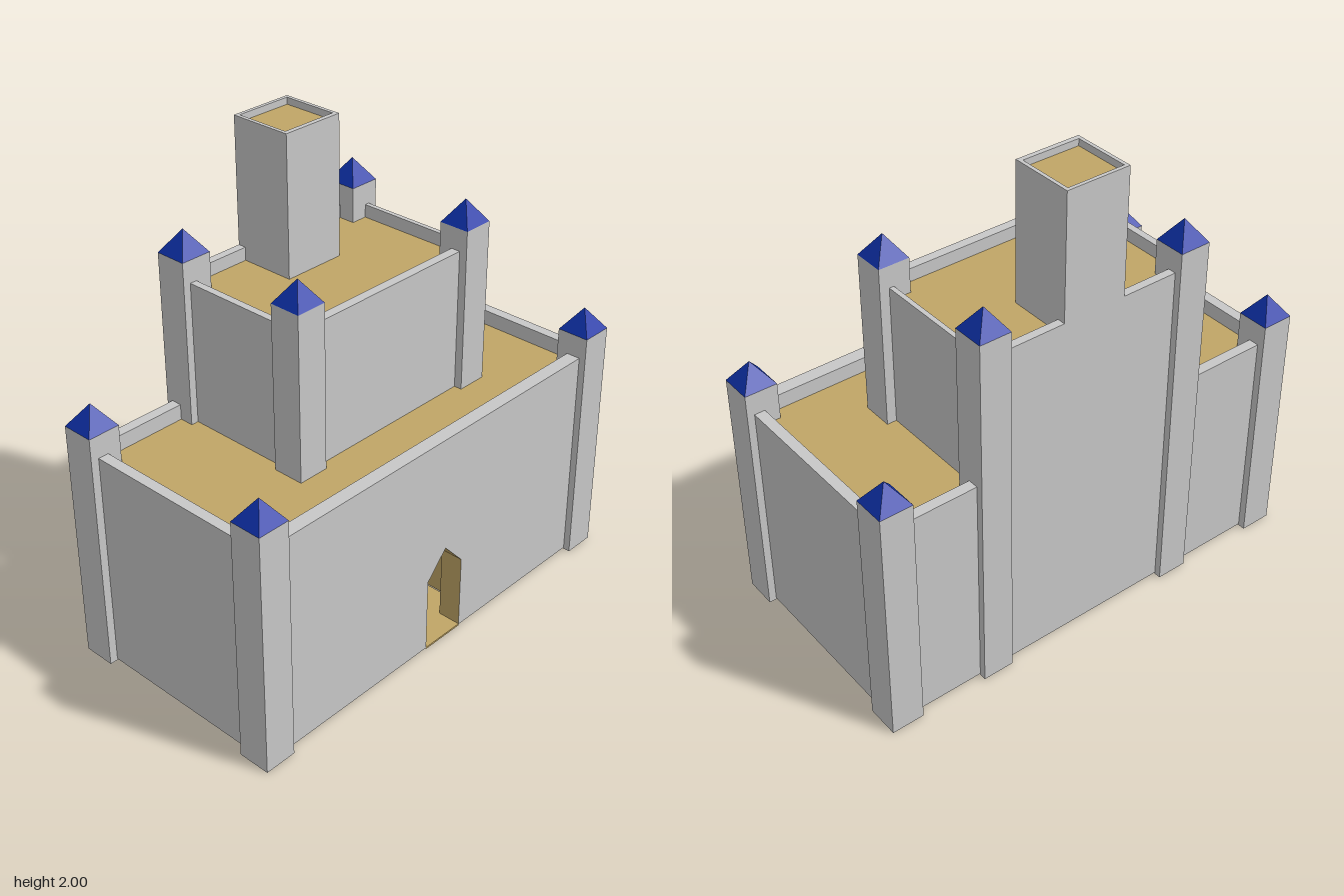
import * as THREE from 'three';

const stone = new THREE.MeshStandardMaterial({ name: 'stone', color: 0xc8c8c8, side: THREE.DoubleSide });
const sand = new THREE.MeshStandardMaterial({ name: 'sand', color: 0xc0a566, side: THREE.DoubleSide });
const roofBlue = new THREE.MeshStandardMaterial({ name: 'roofBlue', color: 0x0e30a8 });

export function createModel() {
  const model = new THREE.Group();
  model.name = 'castle';

  const add = (name, geometry, material) => {
    const mesh = new THREE.Mesh(geometry, material);
    mesh.name = name;
    model.add(mesh);
    return mesh;
  };

  // Box between limits; skip lists faces left open (0 +x, 1 -x, 2 top, 3 bottom, 4 front, 5 back)
  const box = (name, material, [x0, x1], [y0, y1], [z0, z1], skip = []) => {
    const g = new THREE.BoxGeometry(x1 - x0, y1 - y0, z1 - z0);
    const index = Array.from(g.index.array).filter((_, i) => !skip.includes(Math.floor(i / 6)));
    g.clearGroups();
    g.setIndex(index);
    g.translate((x0 + x1) / 2, (y0 + y1) / 2, (z0 + z1) / 2);
    return add(name, g, material);
  };

  const outline = (points) => new THREE.Shape(points.map(([x, y]) => new THREE.Vector2(x, y)));
  const extrude = (shape, z0, z1) =>
    new THREE.ExtrudeGeometry(shape, { depth: z1 - z0, bevelEnabled: false }).translate(0, 0, z0);

  // Flat ring of wall top around a sunken roof floor
  const parapet = (name, [x0, x1], [z0, z1], [ix0, ix1], [iz0, iz1], y0, y1) => {
    const s = outline([[x0, -z0], [x0, -z1], [x1, -z1], [x1, -z0]]);
    s.holes.push(outline([[ix0, -iz0], [ix1, -iz0], [ix1, -iz1], [ix0, -iz1]]));
    const g = new THREE.ExtrudeGeometry(s, { depth: y1 - y0, bevelEnabled: false });
    add(name, g.rotateX(-Math.PI / 2).translate(0, y0, 0), stone);
  };

  // Square turret, open below, with a pyramid roof
  const turret = (name, x, z, y0, y1, half) => {
    box(name, stone, [x - half, x + half], [y0, y1], [z - half, z + half], [2, 3]);
    const roof = new THREE.ConeGeometry(half * Math.SQRT2, 0.095, 4).rotateY(Math.PI / 4).toNonIndexed();
    roof.computeVertexNormals();
    add(name + 'Roof', roof.translate(x, y1 + 0.0475, z), roofBlue);
  };

  // Pointed doorway profile
  const door = [[-0.07, 0.006], [-0.07, 0.33], [0.03, 0.44], [0.13, 0.33], [0.13, 0.006]];

  // Lower wall shell, open below, with the doorway cut into its front
  box('lowerWalls', stone, [-0.945, 0.945], [0.006, 0.93], [-0.475, 0.475], [2, 3, 4]);
  const front = outline([[-0.945, 0.006], ...door, [0.945, 0.006], [0.945, 0.93], [-0.945, 0.93]]);
  add('frontWall', new THREE.ShapeGeometry(front).translate(0, 0, 0.475), stone);
  parapet('lowerParapet', [-0.945, 0.945], [-0.475, 0.475], [-0.9, 0.9], [-0.43, 0.415], 0.86, 0.945);

  // Sand core under the lower roof, with a room through its middle
  const top = 0.88;
  const core = outline([[-0.9, 0], [-0.2, 0], [-0.2, 0.6], [0.25, 0.6], [0.25, 0], [0.9, 0], [0.9, top], [-0.9, top]]);
  add('core', extrude(core, -0.42, 0.375), sand);
  const coreFront = outline([[-0.9, 0], ...door, [0.9, 0], [0.9, top], [-0.9, top]]);
  add('coreFront', extrude(coreFront, 0.375, 0.415), sand);
  box('coreBack', sand, [-0.9, 0.9], [0, top], [-0.43, -0.42]);
  box('roomFloor', sand, [-0.188, 0.238], [0, 0.008], [-0.42, 0.375]);
  box('doorStep', sand, [-0.07, 0.13], [0, 0.008], [0.375, 0.475]);

  // Door jambs and arch between wall and core
  const lining = door.map(([x, y]) => new THREE.Vector3(x, y, 0));
  const pos = [];
  for (let i = 0; i < lining.length - 1; i++) {
    const a = lining[i], b = lining[i + 1], z0 = 0.41, z1 = 0.475;
    pos.push(a.x, a.y, z1, b.x, b.y, z0, a.x, a.y, z0, a.x, a.y, z1, b.x, b.y, z1, b.x, b.y, z0);
  }
  // turn the faces toward the opening
  for (let i = 0; i < pos.length; i += 9) {
    for (let k = 0; k < 3; k++) [pos[i + 3 + k], pos[i + 6 + k]] = [pos[i + 6 + k], pos[i + 3 + k]];
  }
  const jambs = new THREE.BufferGeometry();
  jambs.setAttribute('position', new THREE.Float32BufferAttribute(pos, 3));
  jambs.computeVertexNormals();
  add('doorJambs', jambs, sand);

  // Upper storey
  box('upperWalls', stone, [-0.46, 0.505], [0.86, 1.46], [-0.475, 0.18], [2, 3]);
  parapet('upperParapet', [-0.46, 0.505], [-0.475, 0.18], [-0.43, 0.485], [-0.44, 0.14], 1.4, 1.475);
  box('upperFloor', sand, [-0.435, 0.49], [1.4, 1.42], [-0.445, 0.145]);

  // Central keep
  box('keepWalls', stone, [-0.115, 0.16], [1.4, 1.99], [-0.475, -0.205], [2]);
  parapet('keepParapet', [-0.115, 0.16], [-0.475, -0.205], [-0.1, 0.145], [-0.46, -0.225], 1.95, 2);
  box('keepFloor', sand, [-0.105, 0.15], [1.955, 1.972], [-0.465, -0.22]);

  // Corner turrets; the rear upper pair reaches the ground
  for (const [side, x, ux] of [['left', 0.907, 0.48], ['right', -0.91, -0.425]]) {
    turret(side + 'FrontTurret', x, 0.435, 0, 1.04, 0.069);
    turret(side + 'BackTurret', x, -0.437, 0, 1.04, 0.069);
    turret(side + 'UpperFrontTurret', ux, 0.148, 0.86, 1.567, 0.066);
    turret(side + 'UpperBackTurret', ux, -0.437, 0, 1.567, 0.067);
  }
  return model;
}
